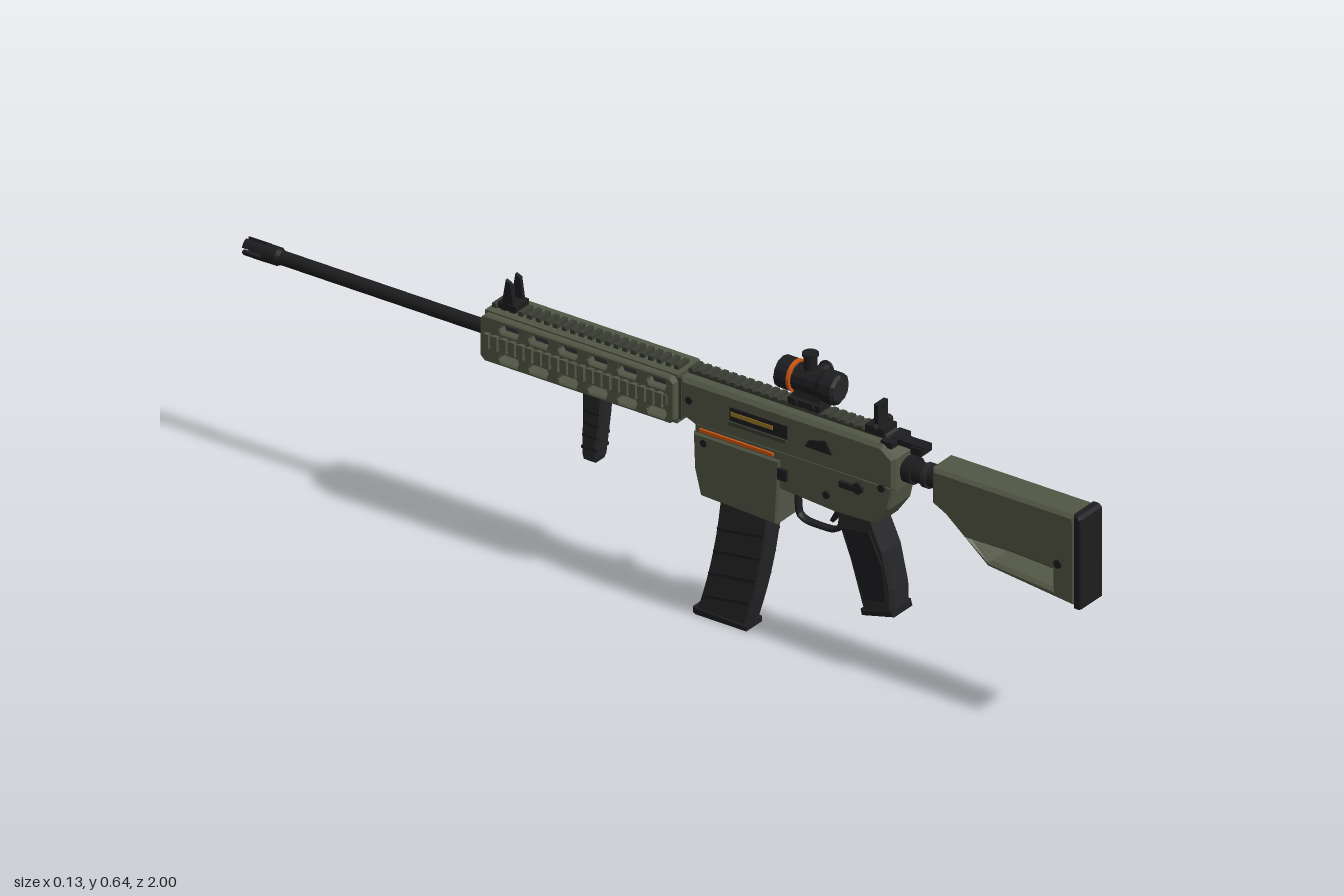
import * as THREE from 'three';

const mat = (name, hex) => {
  const m = new THREE.MeshStandardMaterial({ color: hex });
  m.name = name;
  return m;
};

export function createModel() {
  const green = mat('olive green', 0x525645);
  const darkGreen = mat('dark olive', 0x3a3d32);
  const black = mat('black metal', 0x1d1d1f);
  const grey = mat('charcoal polymer', 0x262628);
  const orange = mat('orange accent', 0xd2570f);
  const gold = mat('brass', 0x9c7a26);
  const root = new THREE.Group();
  root.name = 'rifle';

  const add = (geo, m, name, x = 0, y = 0, z = 0) => {
    const mesh = new THREE.Mesh(geo, m);
    mesh.name = name;
    mesh.position.set(x, y, z);
    root.add(mesh);
    return mesh;
  };
  const box = (name, m, w, h, d, x, y, z) => add(new THREE.BoxGeometry(w, h, d), m, name, x, y, z);
  // Cylinder along 'x', 'y' or 'z'
  const cyl = (name, m, axis, r, len, x, y, z, sides = 16, r2 = r) => {
    const g = new THREE.CylinderGeometry(r, r2, len, sides);
    if (axis === 'x') g.rotateZ(-Math.PI / 2);
    if (axis === 'z') g.rotateX(Math.PI / 2);
    return add(g, m, name, x, y, z);
  };
  const toPts = (a) => a.map(([z, y]) => new THREE.Vector2(z, y));
  // Side outline in [z, y], extruded across x with chamfered edges
  const slab = (name, m, pts, half, bevel = 0.006, holes = [], x = 0) => {
    const s = new THREE.Shape(toPts(pts));
    holes.forEach((h) => s.holes.push(new THREE.Path(toPts(h))));
    const depth = 2 * (half - bevel);
    const g = new THREE.ExtrudeGeometry(s, {
      depth, bevelEnabled: bevel > 0, bevelThickness: bevel, bevelSize: bevel, bevelOffset: -bevel, bevelSegments: 1,
    });
    g.translate(0, 0, -depth / 2);
    g.rotateY(-Math.PI / 2);
    return add(g, m, name, x);
  };

  // Stock with its opening, butt pad and sling studs
  slab('stock', green,
    [[0.985, 0.305], [0.985, 0.503], [0.645, 0.503], [0.645, 0.425], [0.675, 0.41], [0.775, 0.328]], 0.037, 0.007,
    [[[0.93, 0.33], [0.93, 0.37], [0.83, 0.375], [0.735, 0.375], [0.785, 0.343]]]);
  slab('buttPad', black, [[1, 0.305], [1, 0.5], [0.993, 0.506], [0.98, 0.506], [0.98, 0.3], [0.993, 0.3]], 0.037, 0.004);
  for (const s of [-1, 1]) cyl('stockStud', black, 'x', 0.009, 0.006, s * 0.037, 0.388, 0.945);

  // Stock tube and collars
  cyl('stockTube', black, 'z', 0.022, 0.13, 0, 0.462, 0.6);
  cyl('tubeCollar', black, 'z', 0.028, 0.02, 0, 0.462, 0.575);
  cyl('tubeRing', grey, 'z', 0.026, 0.012, 0, 0.462, 0.615);

  // Receiver: upper, lower and magazine well
  slab('upperReceiver', green,
    [[0.56, 0.425], [0.56, 0.495], [0.53, 0.518], [0.052, 0.518], [0.052, 0.435], [0.085, 0.422]], 0.041, 0.008);
  slab('lowerReceiver', green,
    [[0.557, 0.432], [0.085, 0.432], [0.085, 0.36], [0.285, 0.345], [0.42, 0.335], [0.515, 0.338], [0.545, 0.38]], 0.039, 0.005);
  slab('magazineWell', green,
    [[0.29, 0.41], [0.085, 0.41], [0.088, 0.33], [0.102, 0.275], [0.282, 0.267], [0.287, 0.345]], 0.0435, 0.004);

  // Details repeated on both receiver sides
  for (const s of [-1, 1]) {
    box('accentStripe', orange, 0.006, 0.007, 0.175, s * 0.0405, 0.418, 0.187);
    box('ejectionPort', black, 0.004, 0.03, 0.135, s * 0.041, 0.476, 0.24);
    box('boltCarrier', gold, 0.006, 0.009, 0.1, s * 0.0415, 0.478, 0.225);
    box('portCover', darkGreen, 0.012, 0.008, 0.135, s * 0.041, 0.458, 0.24);
    box('magazineRelease', black, 0.01, 0.024, 0.022, s * 0.041, 0.382, 0.297);
    slab('sidePanel', black, [[0.415, 0.462], [0.40, 0.488], [0.36, 0.478], [0.35, 0.462]], 0.003, 0, [], s * 0.0415);
    cyl('selectorPivot', black, 'x', 0.012, 0.012, s * 0.04, 0.408, 0.475);
    box('selectorLever', black, 0.008, 0.012, 0.045, s * 0.043, 0.406, 0.455);
    for (const [z, y] of [[0.53, 0.425], [0.075, 0.475], [0.4, 0.37], [0.11, 0.392]])
      cyl('pin', black, 'x', 0.008, 0.006, s * 0.041, y, z, 12);
  }
  const assist = cyl('forwardAssist', green, 'z', 0.013, 0.05, 0.046, 0.488, 0.41, 12);
  assist.rotation.y = 0.25;

  // Charging handle
  box('chargingHandle', black, 0.026, 0.012, 0.11, 0, 0.52, 0.555);
  box('chargingLatch', black, 0.064, 0.013, 0.026, 0, 0.518, 0.535);
  box('chargingGrip', black, 0.036, 0.016, 0.025, 0, 0.515, 0.595);

  // Top rail of the receiver
  box('topRail', darkGreen, 0.03, 0.01, 0.48, 0, 0.52, 0.295);
  for (let i = 0; i < 24; i++) box('railTooth', darkGreen, 0.036, 0.007, 0.011, 0, 0.527, 0.062 + i * 0.02);

  // Handguard: slotted side walls joined by top and bottom plates
  const slots = [];
  for (let i = 0; i < 6; i++) {
    const z = 0.005 - i * 0.07;
    for (const y of [0.496, 0.432])
      slots.push([[z + 0.018, y - 0.009], [z + 0.022, y], [z + 0.018, y + 0.009],
        [z - 0.018, y + 0.009], [z - 0.022, y], [z - 0.018, y - 0.009]]);
  }
  for (const s of [-1, 1]) {
    slab('handguardSide', green,
      [[0.045, 0.425], [0.045, 0.505], [0.035, 0.515], [-0.405, 0.515], [-0.415, 0.505], [-0.415, 0.425], [-0.405, 0.415], [0.035, 0.415]],
      0.01, 0.003, slots, s * 0.0405);
    box('sideRail', green, 0.006, 0.022, 0.43, s * 0.052, 0.466, -0.185);
    for (let i = 0; i < 21; i++)
      box('sideRailTooth', green, 0.009, 0.032, 0.011, s * 0.0575, 0.466, 0.018 - i * 0.0205);
  }
  box('handguardTop', green, 0.07, 0.01, 0.455, 0, 0.513, -0.185);
  box('handguardBottom', green, 0.07, 0.01, 0.455, 0, 0.416, -0.185);
  for (let i = 0; i < 22; i++) {
    const z = 0.028 - i * 0.0205;
    box('upperRailTooth', darkGreen, 0.036, 0.01, 0.011, 0, 0.522, z);
    box('lowerRailTooth', darkGreen, 0.036, 0.01, 0.011, 0, 0.409, z);
  }
  box('handguardFrontCap', darkGreen, 0.064, 0.09, 0.01, 0, 0.465, -0.405);
  box('handguardRearCap', darkGreen, 0.07, 0.09, 0.012, 0, 0.467, 0.045);

  // Barrel and pronged muzzle
  cyl('barrel', black, 'z', 0.0145, 0.98, 0, 0.457, -0.455, 20);
  cyl('muzzleBase', black, 'z', 0.0145, 0.012, 0, 0.457, -0.922, 16, 0.019);
  cyl('muzzleBody', black, 'z', 0.019, 0.03, 0, 0.457, -0.94);
  for (let i = 0; i < 4; i++) {
    const a0 = i * Math.PI / 2 + 0.22, a1 = (i + 1) * Math.PI / 2 - 0.22;
    const s = new THREE.Shape();
    s.absarc(0, 0, 0.019, a0, a1, false);
    s.absarc(0, 0, 0.011, a1, a0, true);
    const g = new THREE.ExtrudeGeometry(s, { depth: 0.05, bevelEnabled: false, curveSegments: 5 });
    add(g, black, 'muzzleProng', 0, 0.457, -1);
  }

  // Pistol grip with side panel and base cap
  slab('pistolGrip', grey,
    [[0.5, 0.345], [0.412, 0.34], [0.418, 0.305], [0.445, 0.235], [0.478, 0.128], [0.55, 0.147], [0.548, 0.2], [0.53, 0.28]], 0.031, 0.008);
  slab('gripPanel', black, [[0.495, 0.315], [0.43, 0.305], [0.482, 0.16], [0.537, 0.172], [0.525, 0.25]], 0.0325, 0.002);
  slab('gripCap', black, [[0.476, 0.125], [0.473, 0.138], [0.549, 0.159], [0.553, 0.144]], 0.033, 0.003);

  // Trigger and guard
  const guardPath = new THREE.CatmullRomCurve3(
    [[0.345, 0.415], [0.285, 0.405], [0.272, 0.385], [0.272, 0.33], [0.285, 0.307], [0.35, 0.303]]
      .map(([y, z]) => new THREE.Vector3(0, y, z)), false, 'catmullrom', 0.3);
  add(new THREE.TubeGeometry(guardPath, 30, 0.006, 8), black, 'triggerGuard').scale.x = 1.6;
  slab('trigger', black, [[0.408, 0.345], [0.392, 0.345], [0.394, 0.315], [0.382, 0.292], [0.39, 0.29], [0.405, 0.312]], 0.006, 0.001);

  // Curved magazine with ribs and floor plate
  const magZ = (y) => { const t = (0.27 - y) / 0.26; return 0.193 - 0.025 * t - 0.03 * t * t; };
  const rear = [], front = [];
  for (let i = 0; i <= 8; i++) {
    const y = 0.29 - i * 0.035;
    rear.push([magZ(y) + 0.057, y]);
    front.unshift([magZ(y) - 0.057, y]);
  }
  slab('magazine', grey, [...rear, ...front], 0.025, 0.004);
  for (const y of [0.055, 0.108, 0.16, 0.212]) {
    const rib = box('magazineRib', black, 0.054, 0.007, 0.112, 0, y, magZ(y));
    rib.rotation.x = -0.15;
  }
  slab('magazineFloor', black, [[0.2, 0], [0.2, 0.012], [0.073, 0.016], [0.073, 0.003], [0.08, 0]], 0.028, 0.002);

  // Vertical foregrip
  box('foregripMount', black, 0.044, 0.014, 0.062, 0, 0.405, -0.17);
  slab('foregrip', grey,
    [[-0.145, 0.405], [-0.148, 0.36], [-0.16, 0.262], [-0.165, 0.25], [-0.194, 0.25], [-0.197, 0.262], [-0.195, 0.405]], 0.02, 0.006);
  for (let i = 0; i < 4; i++) box('foregripRib', black, 0.042, 0.006, 0.036, 0, 0.28 + i * 0.027, -0.177 + i * 0.002);

  // Front sight: base, post and two ears
  box('frontSightBase', black, 0.044, 0.014, 0.042, 0, 0.53, -0.37);
  cyl('frontSightPost', black, 'y', 0.003, 0.04, 0, 0.55, -0.37, 8);
  for (const s of [-1, 1])
    slab('frontSightEar', black, [[-0.355, 0.53], [-0.363, 0.583], [-0.375, 0.588], [-0.385, 0.53]], 0.004, 0.001, [], s * 0.016);

  // Rear sight: base and aperture plate
  box('rearSightBase', black, 0.044, 0.016, 0.045, 0, 0.533, 0.5);
  const plate = new THREE.Shape(toPts([[-0.017, 0], [0.017, 0], [0.017, 0.05], [-0.017, 0.05]]));
  plate.holes.push(new THREE.Path().absarc(0, 0.037, 0.005, 0, Math.PI * 2, true));
  add(new THREE.ExtrudeGeometry(plate, { depth: 0.01, bevelEnabled: false }), black, 'rearSightPlate', 0, 0.538, 0.495);
  for (const s of [-1, 1]) cyl('rearSightKnob', black, 'x', 0.008, 0.012, s * 0.024, 0.54, 0.5, 12);

  // Scope: turned body, lenses, accent ring, turrets and mount
  const profile = toPts([[0.026, 0.265], [0.033, 0.268], [0.033, 0.296], [0.028, 0.306],
    [0.028, 0.36], [0.033, 0.372], [0.033, 0.4], [0.026, 0.405]]);
  const tube = new THREE.LatheGeometry(profile, 12).toNonIndexed();
  tube.rotateX(Math.PI / 2);
  tube.computeVertexNormals();
  add(tube, black, 'scopeBody', 0, 0.583, 0);
  cyl('scopeLens', grey, 'z', 0.026, 0.14, 0, 0.583, 0.335, 12);
  cyl('scopeAccentRing', orange, 'z', 0.0335, 0.007, 0, 0.583, 0.301, 24);
  cyl('topTurret', black, 'y', 0.014, 0.045, 0, 0.618, 0.333);
  cyl('topTurretCap', black, 'y', 0.0165, 0.006, 0, 0.64, 0.333);
  cyl('sideTurret', black, 'x', 0.014, 0.04, 0.034, 0.585, 0.333);
  cyl('sideTurretCap', black, 'x', 0.0165, 0.006, 0.0525, 0.585, 0.333);
  box('scopeMount', grey, 0.034, 0.035, 0.065, 0, 0.545, 0.335);
  box('scopeClamp', black, 0.054, 0.014, 0.075, 0, 0.54, 0.335);
  for (const z of [0.315, 0.355]) cyl('clampScrew', black, 'x', 0.007, 0.06, 0, 0.54, z, 10);

  return root;
}
